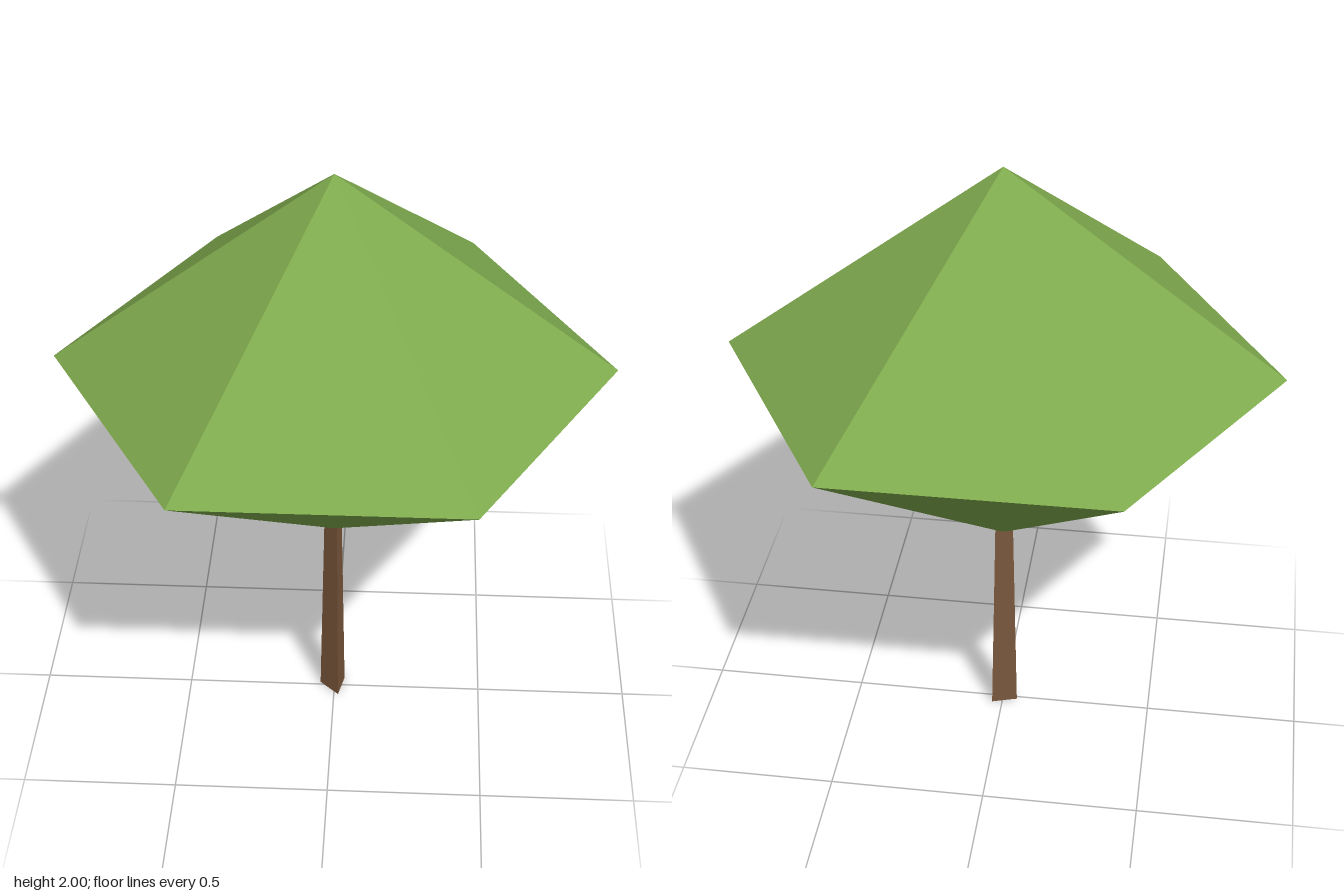
import * as THREE from 'three';

export function createModel() {
  const tree = new THREE.Group();
  tree.name = 'tree';

  const leafGreen = new THREE.MeshStandardMaterial({ color: 0x7fab4e, flatShading: true });
  leafGreen.name = 'leafGreen';
  const barkBrown = new THREE.MeshStandardMaterial({ color: 0x7a583c, flatShading: true });
  barkBrown.name = 'barkBrown';

  // Trunk: tapered three-sided post, slightly turned, its top hidden in the canopy
  const trunkHeight = 0.8;
  const trunk = new THREE.Mesh(
    new THREE.CylinderGeometry(0.032, 0.05, trunkHeight, 3, 1, false, 0.3),
    barkBrown
  );
  trunk.name = 'trunk';
  trunk.position.y = trunkHeight / 2;
  tree.add(trunk);

  // Canopy: hexagonal double pyramid with corners on the x axis
  const radius = 0.866;
  const halfHeight = 0.65;
  const canopyGeometry = new THREE.SphereGeometry(radius, 6, 2);
  canopyGeometry.scale(1, halfHeight / radius, 1);
  const canopy = new THREE.Mesh(canopyGeometry, leafGreen);
  canopy.name = 'canopy';
  canopy.position.y = 2 - halfHeight;
  tree.add(canopy);

  return tree;
}
